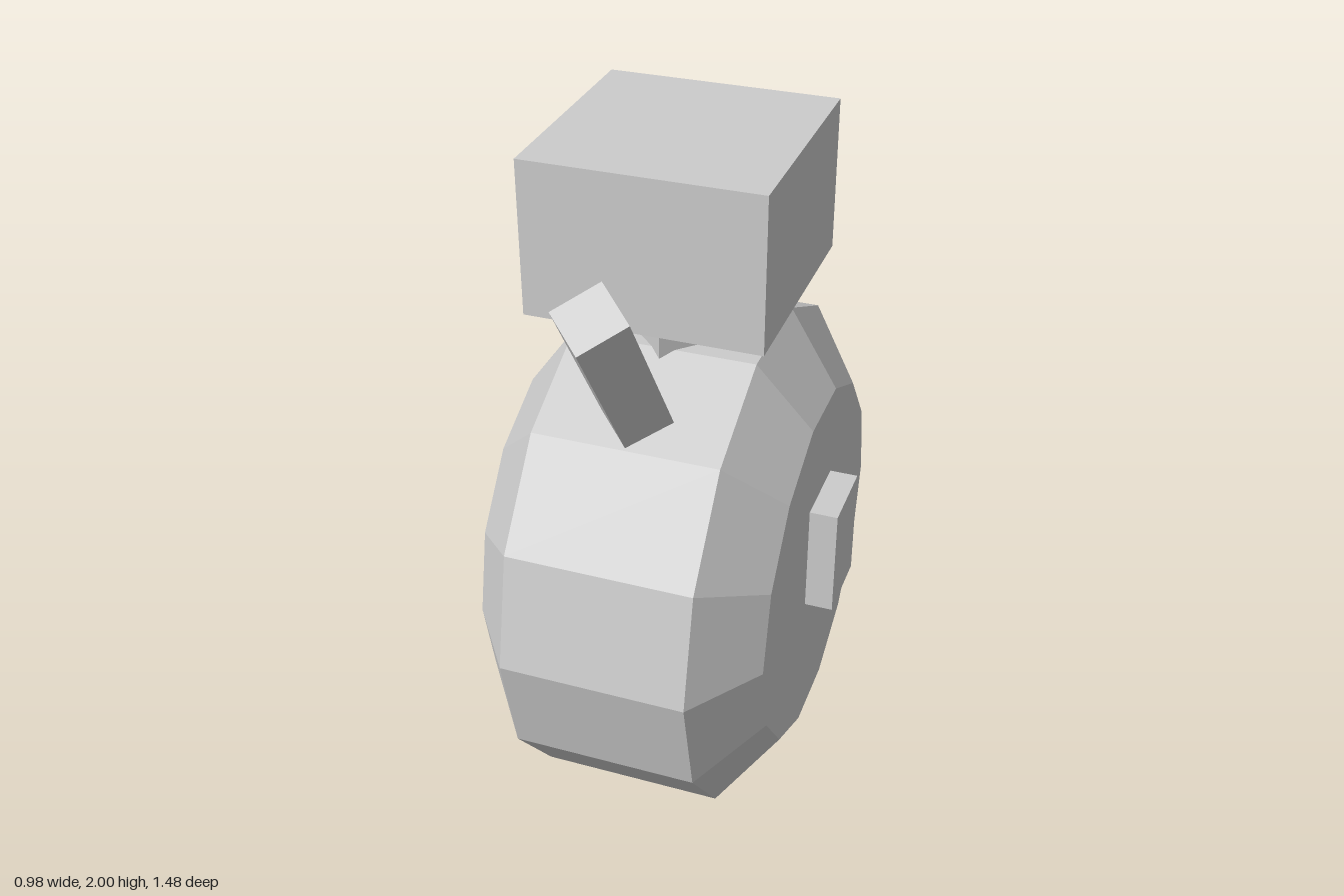
import * as THREE from 'three';

export function createModel() {
  const model = new THREE.Group();
  const grey = new THREE.MeshStandardMaterial({ color: 0xcccccc, flatShading: true });
  grey.name = 'grey';

  function add(name, geometry, x, y, z) {
    const mesh = new THREE.Mesh(geometry, grey);
    mesh.name = name;
    mesh.position.set(x, y, z);
    model.add(mesh);
    return mesh;
  }

  // Fourteen-sided drum body with bevelled rims, axis along x
  const profile = [[0, -0.41], [0.53, -0.41], [0.74, -0.26], [0.74, 0.26], [0.53, 0.41], [0, 0.41]]
    .map(([r, h]) => new THREE.Vector2(r, h));
  const drum = new THREE.LatheGeometry(profile, 14);
  drum.rotateZ(Math.PI / 2);
  add('body', drum, 0, 0.721, 0);

  // Small blocks on both sides of the drum
  for (const side of [1, -1]) {
    add(side > 0 ? 'leftHub' : 'rightHub', new THREE.BoxGeometry(0.1, 0.325, 0.22), side * 0.44, 0.803, 0);
  }

  // Four-sided neck and block head
  add('neck', new THREE.CylinderGeometry(0.197, 0.197, 0.24, 4), 0, 1.46, 0);
  add('head', new THREE.BoxGeometry(0.652, 0.432, 0.652), 0, 1.784, 0);

  // Four-sided spout leaning forward out of the body
  const tilt = 0.593;
  const length = 0.7;
  const spout = add('spout', new THREE.CylinderGeometry(0.101, 0.101, length, 4),
    0, 1.785 - Math.cos(tilt) * length / 2, 0.657 - Math.sin(tilt) * length / 2);
  spout.rotation.x = tilt;

  return model;
}
